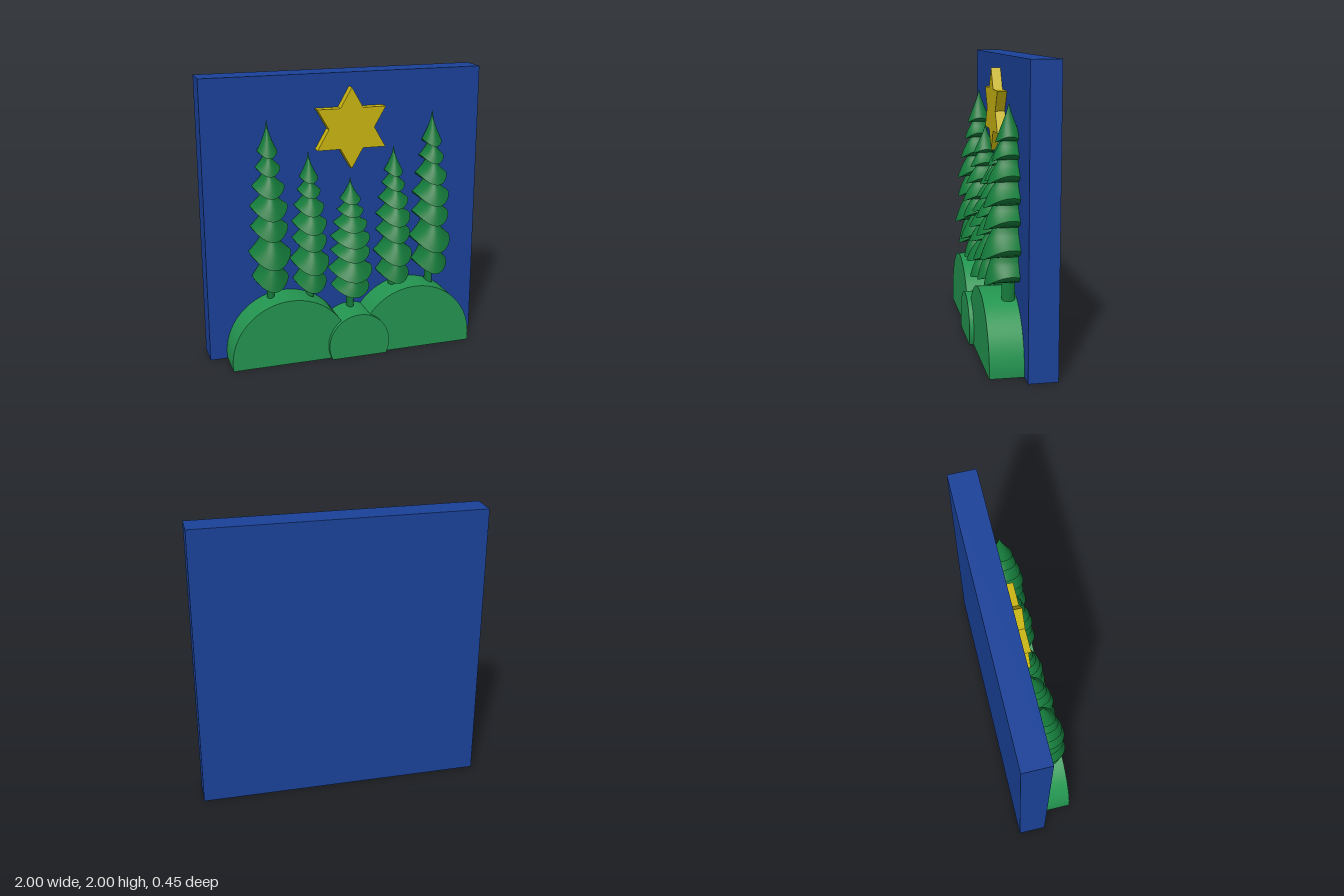
import * as THREE from 'three';
import { mergeGeometries } from 'three/addons/utils/BufferGeometryUtils.js';

const FACE = -0.03; // z of the board's front face
const SIDES = 48;
const paint = (color) => new THREE.MeshStandardMaterial({ color });

function add(parent, name, geometry, material, x = 0, y = 0, z = 0) {
  const mesh = new THREE.Mesh(geometry, material);
  mesh.name = name;
  mesh.position.set(x, y, z);
  parent.add(mesh);
  return mesh;
}

// Skin over oval rings listed top to bottom: [rx, rz, y, droop at front and back]
function loft(rings) {
  const pos = [], index = [];
  for (const [rx, rz, y, droop] of rings) {
    for (let j = 0; j < SIDES; j++) {
      const a = (j / SIDES) * Math.PI * 2, s = Math.sin(a);
      pos.push(rx * Math.cos(a), y - droop * s * s, rz * s);
    }
  }
  for (let i = 0; i < rings.length - 1; i++) {
    for (let j = 0; j < SIDES; j++) {
      const k = (j + 1) % SIDES;
      const a = i * SIDES + j, b = i * SIDES + k, c = a + SIDES, d = b + SIDES;
      index.push(a, b, c, b, d, c);
    }
  }
  const g = new THREE.BufferGeometry();
  g.setAttribute('position', new THREE.Float32BufferAttribute(pos, 3));
  g.setIndex(index);
  g.computeVertexNormals();
  return g;
}

// Branch tiers: [rim height, rim half-width]
const TIERS = [[0.62, 0.125], [0.8, 0.145], [0.985, 0.128], [1.13, 0.128],
  [1.27, 0.11], [1.4, 0.085], [1.51, 0.068]];
const TIP = 1.715, BASE = 0.54, DEEP = 1.27;

function branchGeometry() {
  const parts = [];
  TIERS.forEach(([y, r], i) => {
    const next = TIERS[i + 1];
    const top = next ? next[0] - 0.45 * next[1] : TIP;
    const neck = next ? 0.4 * next[1] : 0.001;
    const neckZ = next ? 0.62 * next[1] * DEEP : 0.001;
    // flared upper side, drooping towards the rim
    const upper = [];
    for (let k = 0; k <= 10; k++) {
      const t = k / 10;
      upper.push([
        neck + (r - neck) * t,
        neckZ + (r * DEEP - neckZ) * Math.pow(t, 0.8),
        top + (y - top) * Math.pow(t, 0.6),
        0.6 * r * t * t,
      ]);
    }
    // rounded underside
    const under = [
      [r, r * DEEP, y, 0.6 * r],
      [0.93 * r, 0.9 * r * DEEP, y - 0.14 * r, 0.42 * r],
      [0.75 * r, 0.75 * r * DEEP, y - 0.3 * r, 0.22 * r],
      [0.4 * r, 0.6 * r * DEEP, y - 0.45 * r, 0.04 * r],
      [0, 0, y - 0.45 * r, 0],
    ];
    parts.push(loft(upper), loft(under));
  });
  return mergeGeometries(parts);
}

// Slab with a round top, cut flat at the ground
function hillGeometry(radius, centreY, depth) {
  const a = Math.asin(centreY / radius);
  const shape = new THREE.Shape();
  shape.absarc(0, centreY, radius, -a, Math.PI + a, false);
  shape.closePath();
  return new THREE.ExtrudeGeometry(shape, { depth, bevelEnabled: false, curveSegments: 64 });
}

function starGeometry(outer, inner, depth) {
  const points = [];
  for (let i = 0; i < 12; i++) {
    const r = i % 2 ? inner : outer, a = Math.PI / 2 + (i * Math.PI) / 6;
    points.push(new THREE.Vector2(r * Math.cos(a), r * Math.sin(a)));
  }
  return new THREE.ExtrudeGeometry(new THREE.Shape(points), { depth, bevelEnabled: false });
}

export function createModel() {
  const model = new THREE.Group();
  model.name = 'winterScene';
  const blue = paint(0x1a4199), green = paint(0x239550);
  const pine = paint(0x147a3a), gold = paint(0xc9b510);

  // Backing board
  add(model, 'board', new THREE.BoxGeometry(2, 2, 0.195), blue, 0, 1, FACE - 0.0975);

  // Hills
  add(model, 'leftHill', hillGeometry(0.425, 0.05, 0.225), green, 0.46, 0, FACE);
  add(model, 'rightHill', hillGeometry(0.425, 0.05, 0.225), green, -0.455, 0, FACE);
  add(model, 'middleHill', hillGeometry(0.222, 0.098, 0.255), green, 0.03, 0, FACE);

  // Star
  add(model, 'star', starGeometry(0.283, 0.163, 0.065), gold, 0.03, 1.623, FACE);

  // Trees: x, foliage bottom, tip, width scale
  const branches = branchGeometry();
  const trunk = new THREE.CylinderGeometry(0.025, 0.025, 0.3, 24).scale(1, 1, 1.8);
  const trees = [[-0.565, 0.54, 1.715, 1], [0.625, 0.54, 1.715, 1],
    [-0.28, 0.5, 1.48, 0.93], [0.34, 0.5, 1.48, 0.93], [0.02, 0.43, 1.275, 1.08]];
  for (const [x, bottom, tip, width] of trees) {
    const tree = new THREE.Group();
    tree.name = 'tree';
    tree.position.set(x, 0, 0.025);
    const s = (tip - bottom) / (TIP - BASE);
    const foliage = add(tree, 'branches', branches, pine, 0, bottom - BASE * s, 0);
    foliage.scale.set(width, s, 1);
    add(tree, 'trunk', trunk, pine, 0, bottom - 0.1, 0);
    model.add(tree);
  }
  return model;
}
